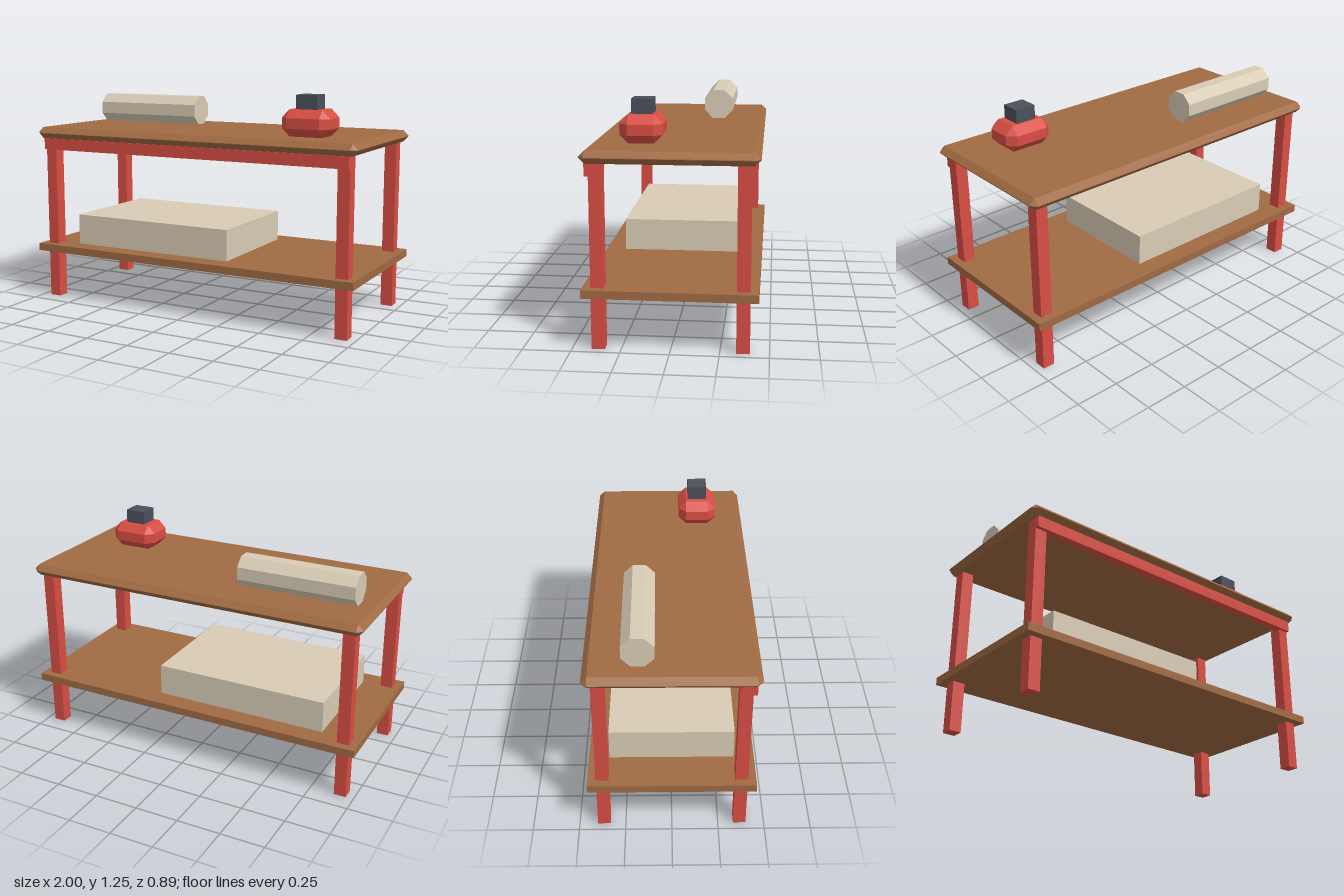
import * as THREE from 'three';
import { ConvexGeometry } from 'three/addons/geometries/ConvexGeometry.js';

const material = (name, color) => {
  const m = new THREE.MeshStandardMaterial({ color, flatShading: true });
  m.name = name;
  return m;
};

// Box given by its lower and upper corners
function box(name, mat, [x0, y0, z0], [x1, y1, z1]) {
  const mesh = new THREE.Mesh(new THREE.BoxGeometry(x1 - x0, y1 - y0, z1 - z0), mat);
  mesh.position.set((x0 + x1) / 2, (y0 + y1) / 2, (z0 + z1) / 2);
  mesh.name = name;
  return mesh;
}

// Box with every edge and corner chamfered by b
function chamferBox(name, mat, min, max, b) {
  const half = min.map((v, i) => (max[i] - v) / 2);
  const points = [];
  for (let axis = 0; axis < 3; axis++) {
    for (const sx of [-1, 1]) for (const sy of [-1, 1]) for (const sz of [-1, 1]) {
      const p = [sx, sy, sz].map((s, i) => s * (half[i] - (i === axis ? 0 : b)));
      points.push(new THREE.Vector3(...p));
    }
  }
  const mesh = new THREE.Mesh(new ConvexGeometry(points), mat);
  mesh.position.set(...min.map((v, i) => v + half[i]));
  mesh.name = name;
  return mesh;
}

export function createModel() {
  const wood = material('wood', 0xa06a43);
  const red = material('red paint', 0xd84e44);
  const parchment = material('parchment', 0xd8ccb5);
  const dark = material('dark cap', 0x4a505a);

  const table = new THREE.Group();
  table.name = 'workTable';

  // Top and lower shelf
  table.add(chamferBox('tableTop', wood, [-1, 0.958, -0.445], [1, 1.023, 0.445], 0.031));
  table.add(box('lowerShelf', wood, [-1, 0.28, -0.445], [1, 0.323, 0.445]));

  // Four legs and the front apron
  for (const sx of [-1, 1]) for (const sz of [-1, 1]) {
    const leg = box('leg', red, [-0.034, 0, -0.034], [0.034, 0.958, 0.034]);
    leg.position.x = sx * 0.922;
    leg.position.z = sz * 0.367;
    table.add(leg);
  }
  table.add(box('frontApron', red, [-0.955, 0.893, 0.375], [0.955, 0.958, 0.422]));

  // Storage box on the shelf
  table.add(box('storageBox', parchment, [-0.78, 0.323, -0.335], [0.22, 0.5, 0.335]));

  // Eight-sided roll lying along x, flat side down
  const rollGeometry = new THREE.CylinderGeometry(0.0905, 0.0905, 0.67, 8);
  rollGeometry.rotateY(Math.PI / 8).rotateZ(Math.PI / 2);
  const roll = new THREE.Mesh(rollGeometry, parchment);
  roll.position.set(-0.557, 1.112, -0.167);
  roll.name = 'paperRoll';
  table.add(roll);

  // Squat pot with a square cap
  table.add(chamferBox('pot', red, [0.5, 1.023, 0.057], [0.777, 1.169, 0.279], 0.045));
  table.add(box('potCap', dark, [0.577, 1.16, 0.112], [0.696, 1.246, 0.223]));

  return table;
}
